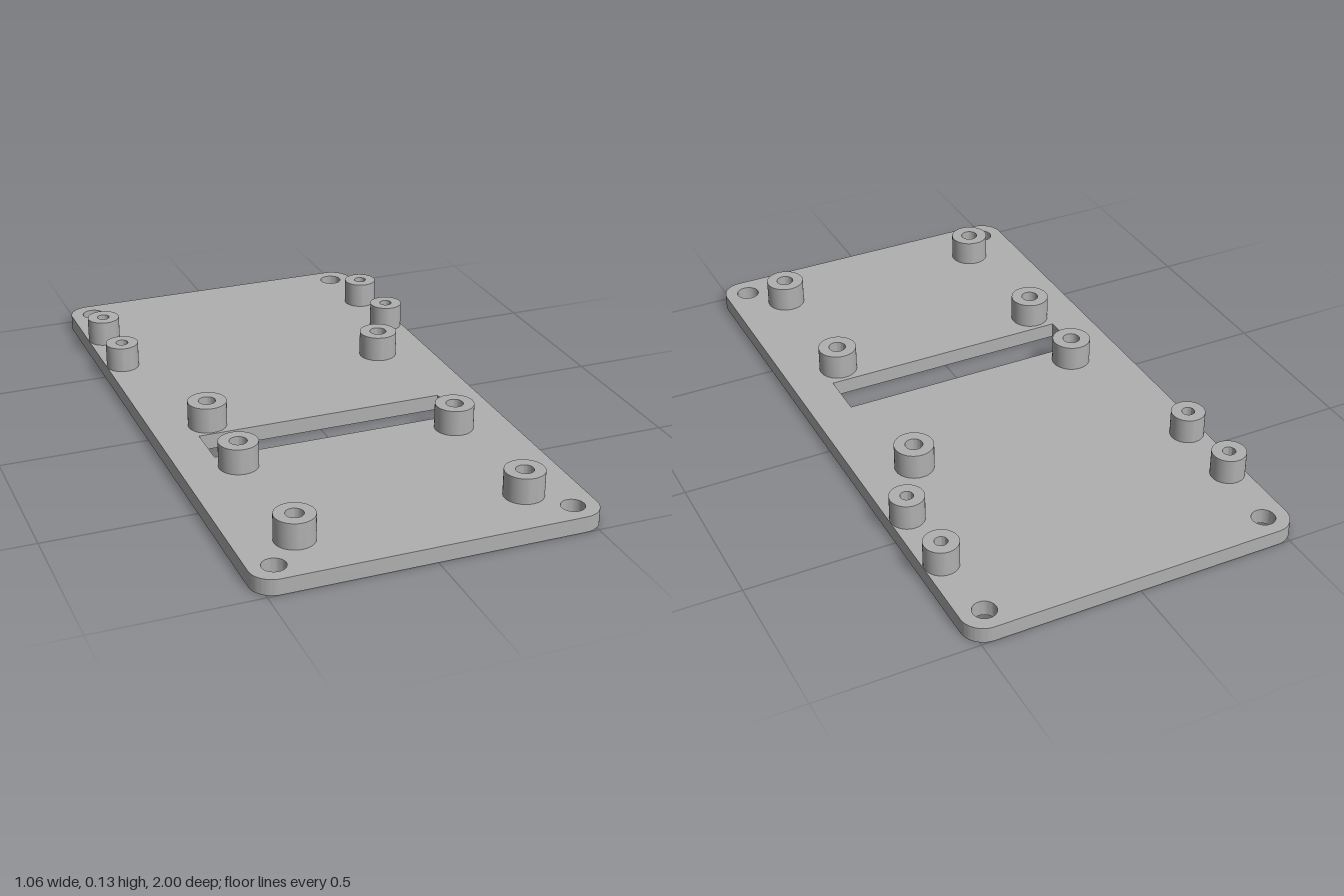
import * as THREE from 'three';
import { toCreasedNormals } from 'three/addons/utils/BufferGeometryUtils.js';

const W = 0.53, L = 1, T = 0.05, TOP = 0.132, CORNER = 0.07;

// Flat plate with rounded corners, four screw holes and a cross slot
function plateGeometry() {
  const shape = new THREE.Shape();
  const cx = W - CORNER, cy = L - CORNER, q = Math.PI / 2;
  [[cx, cy], [-cx, cy], [-cx, -cy], [cx, -cy]].forEach(([x, y], i) =>
    shape.absarc(x, y, CORNER, i * q, (i + 1) * q, false));
  shape.closePath();

  for (const x of [-0.454, 0.454]) for (const y of [-0.926, 0.926]) {
    shape.holes.push(new THREE.Path().absarc(x, y, 0.036, 0, Math.PI * 2, true));
  }
  const slot = [[-0.403, -0.275], [-0.403, -0.125], [0.403, -0.125], [0.403, -0.275]];
  shape.holes.push(new THREE.Path(slot.map(([x, y]) => new THREE.Vector2(x, y))));

  const geo = new THREE.ExtrudeGeometry(shape, { depth: T, bevelEnabled: false, curveSegments: 16 });
  geo.rotateX(-Math.PI / 2);
  return toCreasedNormals(geo, 0.6);
}

// Hollow post whose bore ends at the plate surface
function standoffGeometry(outer, bore) {
  const profile = [[outer, T], [outer, TOP], [bore, TOP], [bore, T]];
  const geo = new THREE.LatheGeometry(profile.map(([r, y]) => new THREE.Vector2(r, y)), 40);
  return toCreasedNormals(geo, 0.6);
}

export function createModel() {
  const model = new THREE.Group();
  model.name = 'mountingPlate';
  const grey = new THREE.MeshStandardMaterial({ color: 0xb0b0b0 });
  grey.name = 'grey';

  const add = (name, geo, x = 0, z = 0) => {
    const mesh = new THREE.Mesh(geo, grey);
    mesh.name = name;
    mesh.position.set(x, 0, z);
    model.add(mesh);
  };

  add('basePlate', plateGeometry());

  // Wide standoffs around the slot and the front
  const wide = standoffGeometry(0.061, 0.027);
  const wideSpots = [[-0.353, 0.057], [0.353, -0.248], [-0.353, 0.35], [0.353, 0.35],
    [-0.353, 0.817], [0.353, 0.817]];
  wideSpots.forEach(([x, z]) => add('wideStandoff', wide, x, z));

  // Narrow standoffs along both long edges
  const narrow = standoffGeometry(0.053, 0.02);
  for (const x of [-0.476, 0.476]) for (const z of [-0.698, -0.467]) {
    add('narrowStandoff', narrow, x, z);
  }
  return model;
}
